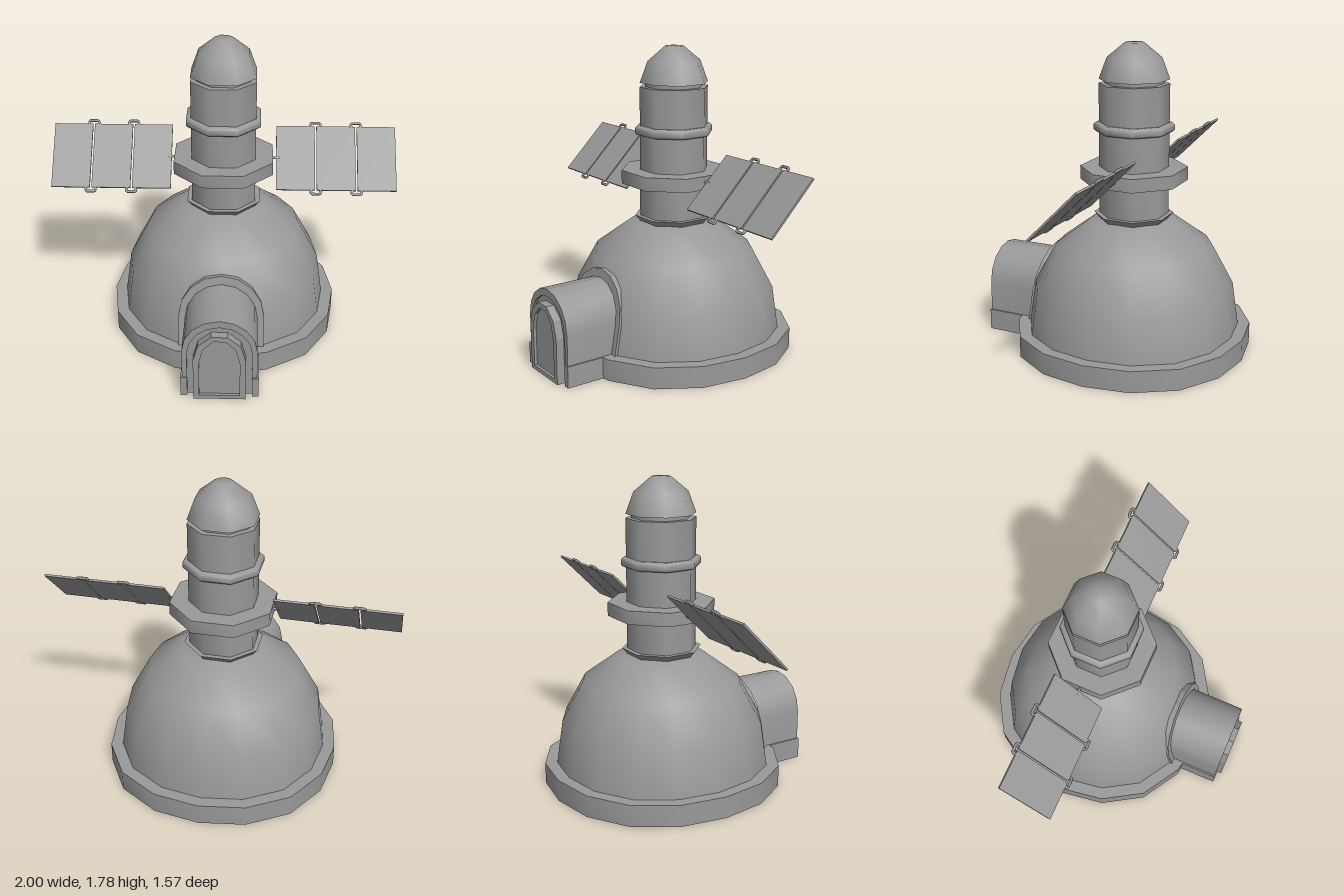
import * as THREE from 'three';
import { toCreasedNormals } from 'three/addons/utils/BufferGeometryUtils.js';

const CZ = -0.105; // axis of dome and tower
const smooth = new THREE.MeshStandardMaterial({ color: 0x999999, side: THREE.DoubleSide });
const flat = new THREE.MeshStandardMaterial({ color: 0x999999, side: THREE.DoubleSide, flatShading: true });

function add(parent, name, geometry, material = flat, x = 0, y = 0, z = 0) {
  const mesh = new THREE.Mesh(geometry, material);
  mesh.name = name;
  mesh.position.set(x, y, z);
  parent.add(mesh);
  return mesh;
}

const lathe = (pts, sides) => new THREE.LatheGeometry(pts.map(([r, y]) => new THREE.Vector2(r, y)), sides);

// Octagonal turning with flats on the axes; radii are measured to the flats
function octagon(pts, crease = 0.9) {
  const k = 1 / Math.cos(Math.PI / 8);
  const g = lathe(pts.map(([r, y]) => [r * k, y]), 8).rotateY(Math.PI / 8);
  return toCreasedNormals(g, crease);
}

// Sixteen-sided turning, slightly fuller on the diagonals
function fullRound(pts) {
  const g = lathe(pts, 16), pos = g.attributes.position;
  for (let i = 0; i < pos.count; i++) {
    const x = pos.getX(i), z = pos.getZ(i);
    const k = 1 + 0.032 * Math.sin(2 * Math.atan2(x, z)) ** 2;
    pos.setXYZ(i, x * k, pos.getY(i), z * k);
  }
  return g;
}

// Arch line from right foot over the faceted elliptical head to left foot
function archLine(w, bottom, spring, top, segs) {
  const pts = [new THREE.Vector2(w, bottom)];
  for (let i = 0; i <= segs; i++) {
    const a = (i / segs) * Math.PI;
    pts.push(new THREE.Vector2(w * Math.cos(a), spring + (top - spring) * Math.sin(a)));
  }
  pts.push(new THREE.Vector2(-w, bottom));
  return pts;
}

const extrude = (shape, depth) => new THREE.ExtrudeGeometry(shape, { depth, bevelEnabled: false });

// Solid arch, or an open-bottomed one when an inner line is given
const arch = (outer, depth, inner) =>
  extrude(new THREE.Shape([...archLine(...outer), ...(inner ? archLine(...inner).reverse() : [])]), depth);

function buildDome(root) {
  const dome = fullRound([[0.612, 0.1], [0.607, 0.14], [0.572, 0.38], [0.45, 0.61], [0.245, 0.765], [0, 0.795]]);
  // Leave the doorway open behind the tunnel
  const pos = dome.attributes.position, src = dome.index.array, kept = [];
  for (let i = 0; i < src.length; i += 3) {
    const t = [src[i], src[i + 1], src[i + 2]];
    const mean = (axis) => t.reduce((s, v) => s + pos[axis](v), 0) / 3;
    if (!(mean('getZ') > 0.4 && Math.abs(mean('getX')) < 0.2 && mean('getY') < 0.38)) kept.push(...t);
  }
  dome.setIndex(kept);
  add(root, 'dome', dome, smooth, 0, 0, CZ - 0.003);
  const ring = fullRound([[0.678, 0], [0.678, 0.125], [0.6, 0.125]]);
  add(root, 'baseRing', toCreasedNormals(ring, 0.7), smooth, 0, 0, CZ - 0.003);
}

function buildTower(root) {
  const tower = new THREE.Group();
  tower.name = 'tower';
  tower.position.z = CZ;
  root.add(tower);
  add(tower, 'collar', octagon([[0.165, 0.745], [0.212, 0.805], [0.18, 0.805]]), smooth);
  add(tower, 'shaft', octagon([[0.185, 0.76], [0.185, 1.555], [0, 1.555]]), smooth);
  add(tower, 'panelMountRing', octagon([[0.18, 1.0], [0.285, 1.0], [0.285, 1.078], [0.18, 1.078]]), smooth);
  add(tower, 'band', octagon([[0.18, 1.282], [0.203, 1.282], [0.212, 1.292], [0.212, 1.322], [0.198, 1.335], [0.18, 1.335]]), smooth);
  add(tower, 'neck', octagon([[0.155, 1.55], [0.155, 1.578], [0.185, 1.578]]), smooth);
  add(tower, 'cap', octagon([[0.185, 1.578], [0.143, 1.70], [0.05, 1.783], [0, 1.785]], 1.2), smooth);
}

function buildPanels(root, side) {
  const wing = new THREE.Group();
  wing.name = side > 0 ? 'leftSolarWing' : 'rightSolarWing';
  wing.position.set(0, 1.046, -0.115);
  wing.rotation.x = -Math.PI / 4;
  root.add(wing);
  const axle = add(wing, 'axle', new THREE.CylinderGeometry(0.008, 0.008, 0.06, 8), smooth, side * 0.295, 0, 0);
  axle.rotation.z = Math.PI / 2;
  // Three plates with narrow gaps
  for (const [a, b] of [[0.305, 0.53], [0.54, 0.766], [0.776, 1.0]])
    add(wing, 'solarPlate', new THREE.BoxGeometry(b - a, 0.39, 0.012), flat, side * (a + b) / 2, 0, 0);
  // Hinge clips bridging the gaps at both edges
  const path = new THREE.CurvePath();
  const pts = [[-0.024, 0.192], [-0.03, 0.205], [-0.024, 0.217], [0.024, 0.217], [0.03, 0.205], [0.024, 0.192]]
    .map(([x, y]) => new THREE.Vector3(x, y, 0));
  for (let i = 1; i < pts.length; i++) path.add(new THREE.LineCurve3(pts[i - 1], pts[i]));
  const clip = new THREE.TubeGeometry(path, 24, 0.008, 6);
  for (const x of [0.535, 0.771])
    for (const end of [0, Math.PI])
      add(wing, 'hingeClip', clip, smooth, side * x, 0, 0).rotation.z = end;
}

function buildEntrance(root) {
  const entrance = new THREE.Group();
  entrance.name = 'entrance';
  root.add(entrance);
  const tunnel = arch([0.208, 0, 0.30, 0.507, 8], 0.375, [0.18, 0, 0.285, 0.465, 8]);
  add(entrance, 'tunnel', toCreasedNormals(tunnel, 0.6), smooth, 0, 0, 0.38);
  // Flange leaning back against the dome
  const flange = arch([0.245, 0, 0.19, 0.442, 8], 0.06, [0.2, 0, 0.18, 0.385, 8]);
  add(entrance, 'flange', flange.translate(0, 0, -0.06), flat, 0, 0.122, 0.475).rotation.x = -0.17;
  for (const s of [-1, 1])
    add(entrance, 'foot', new THREE.BoxGeometry(0.036, 0.125, 0.32), flat, s * 0.199, 0.0625, 0.601);
  add(entrance, 'endWall', arch([0.182, 0, 0.285, 0.467, 8], 0.015), flat, 0, 0, 0.725);
  const frame = new THREE.Shape(archLine(0.145, 0, 0.265, 0.433, 5));
  frame.holes.push(new THREE.Path(archLine(0.112, 0.025, 0.245, 0.402, 5)));
  add(entrance, 'doorFrame', extrude(frame, 0.047), flat, 0, 0, 0.74);
  add(entrance, 'door', arch([0.113, 0.022, 0.245, 0.403, 5], 0.03), flat, 0, 0, 0.74);
}

export function createModel() {
  const root = new THREE.Group();
  root.name = 'domeStation';
  buildDome(root);
  buildTower(root);
  buildEntrance(root);
  for (const side of [-1, 1]) buildPanels(root, side);
  return root;
}
